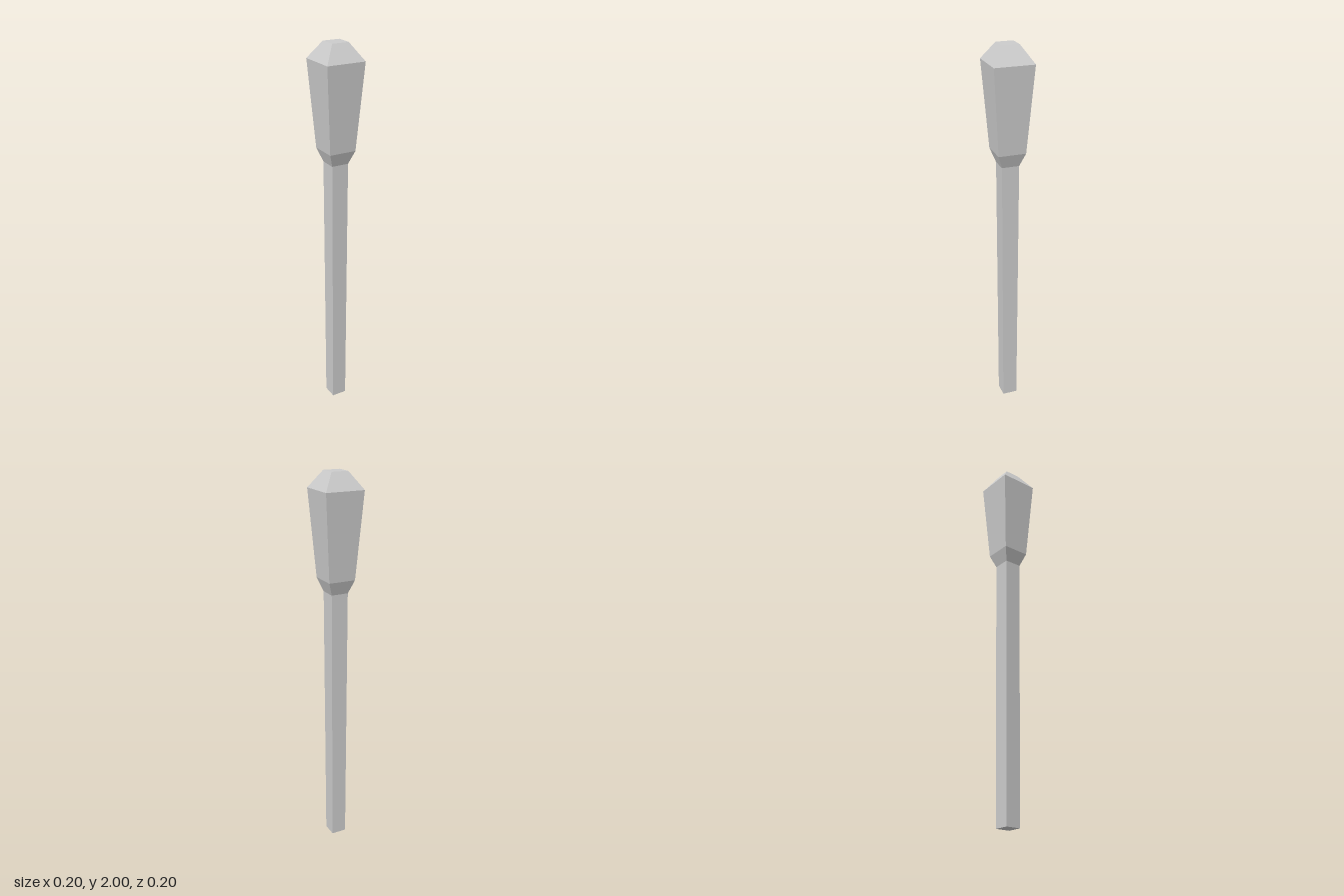
import * as THREE from 'three';

const material = new THREE.MeshStandardMaterial({ color: 0xcccccc, flatShading: true });

// Square-section solid from a profile of [half width, height], bottom to top
function squareLathe(name, profile) {
  const points = profile.map(([half, y]) => new THREE.Vector2(half * Math.SQRT2, y));
  const geometry = new THREE.LatheGeometry(points, 4, Math.PI / 4).toNonIndexed();
  geometry.computeVertexNormals();
  const mesh = new THREE.Mesh(geometry, material);
  mesh.name = name;
  return mesh;
}

export function createModel() {
  const model = new THREE.Group();
  model.name = 'club';

  // Slightly tapered handle with a closed foot
  model.add(squareLathe('handle', [[0, 0], [0.04, 0], [0.045, 1.405]]));

  // Flared head: collar, widening body, bevelled crown and flat top
  model.add(squareLathe('head', [
    [0.045, 1.405],
    [0.071, 1.475],
    [0.102, 1.915],
    [0.044, 2],
    [0, 2],
  ]));

  return model;
}
